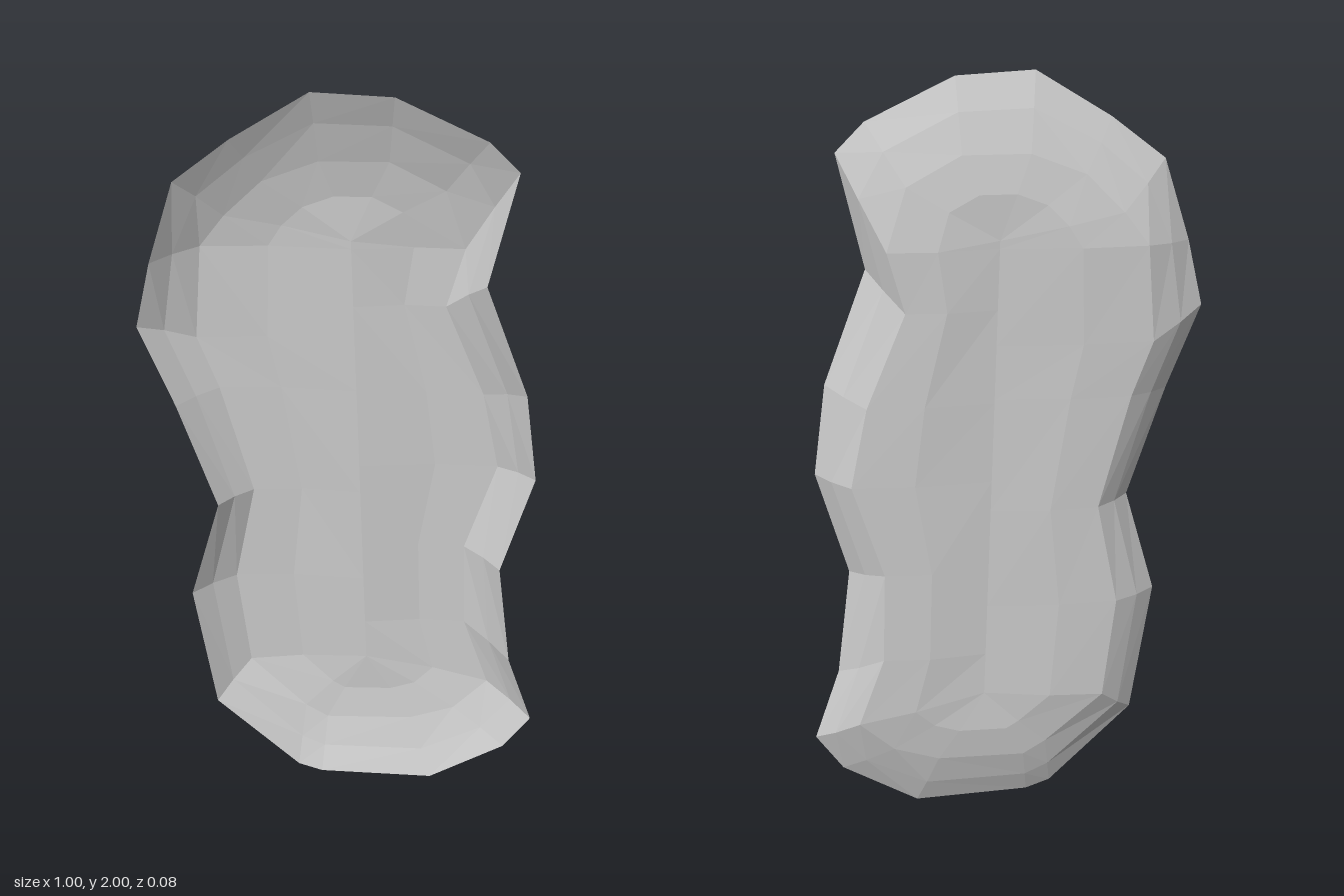
import * as THREE from 'three';

// Each entry: rim x, rim y, floor-edge x, floor-edge y (clockwise from the top)
const OUTLINE = [
  [-0.085, 2.0, -0.07, 1.82], [0.1, 1.99, 0.09, 1.82], [0.31, 1.89, 0.22, 1.75],
  [0.38, 1.82, 0.27, 1.6], [0.32, 1.54, 0.23, 1.45], [0.43, 1.25, 0.33, 1.21],
  [0.465, 1.01, 0.375, 1.0], [0.39, 0.73, 0.3, 0.75], [0.43, 0.43, 0.31, 0.5],
  [0.5, 0.225, 0.38, 0.3], [0.43, 0.12, 0.29, 0.21], [0.23, 0.0, 0.17, 0.17],
  [-0.075, 0.015, -0.06, 0.17], [-0.14, 0.04, -0.12, 0.21], [-0.36, 0.27, -0.27, 0.36],
  [-0.41, 0.64, -0.3, 0.645], [-0.33, 0.92, -0.245, 0.92], [-0.42, 1.21, -0.32, 1.22],
  [-0.5, 1.425, -0.37, 1.36], [-0.46, 1.59, -0.35, 1.6], [-0.395, 1.79, -0.29, 1.68],
  [-0.265, 1.89, -0.2, 1.77],
];

const lerp = THREE.MathUtils.lerp;

// Points running from the rim, down the wall and across the floor to the spine
function section([rx, ry, fx, fy]) {
  const end = THREE.MathUtils.smoothstep(Math.abs(fy - 1), 0.6, 0.82); // shallower ends
  const sy = THREE.MathUtils.clamp(fy, 0.38, 1.62);
  const sx = lerp(0.06, -0.01, sy / 2);
  return [
    [rx, ry, 0.04],
    [lerp(rx, fx, 0.45), lerp(ry, fy, 0.45), lerp(-0.002, 0.01, end)],
    [fx, fy, lerp(-0.036, -0.016, end)],
    [lerp(fx, sx, 0.45), lerp(fy, sy, 0.45), lerp(-0.043, -0.03, end)],
    [sx, sy, -0.028],
  ];
}

export function createModel() {
  const group = new THREE.Group();
  const sections = OUTLINE.map(section);
  const rings = sections[0].length;
  const n = sections.length;

  const index = [];
  for (let i = 0; i < n; i++) {
    for (let j = 0; j < rings - 1; j++) {
      const a = i * rings + j;
      const b = ((i + 1) % n) * rings + j;
      index.push(a, a + 1, b, b, a + 1, b + 1);
    }
  }
  const geometry = new THREE.BufferGeometry();
  geometry.setAttribute('position', new THREE.Float32BufferAttribute(sections.flat(2), 3));
  geometry.setIndex(index);
  geometry.computeVertexNormals();

  // Shallow open shell, hollow towards the front
  const shell = new THREE.Mesh(geometry, new THREE.MeshStandardMaterial({
    color: 0xcccccc, flatShading: true, side: THREE.DoubleSide,
  }));
  shell.name = 'shallowShell';
  group.add(shell);
  return group;
}
